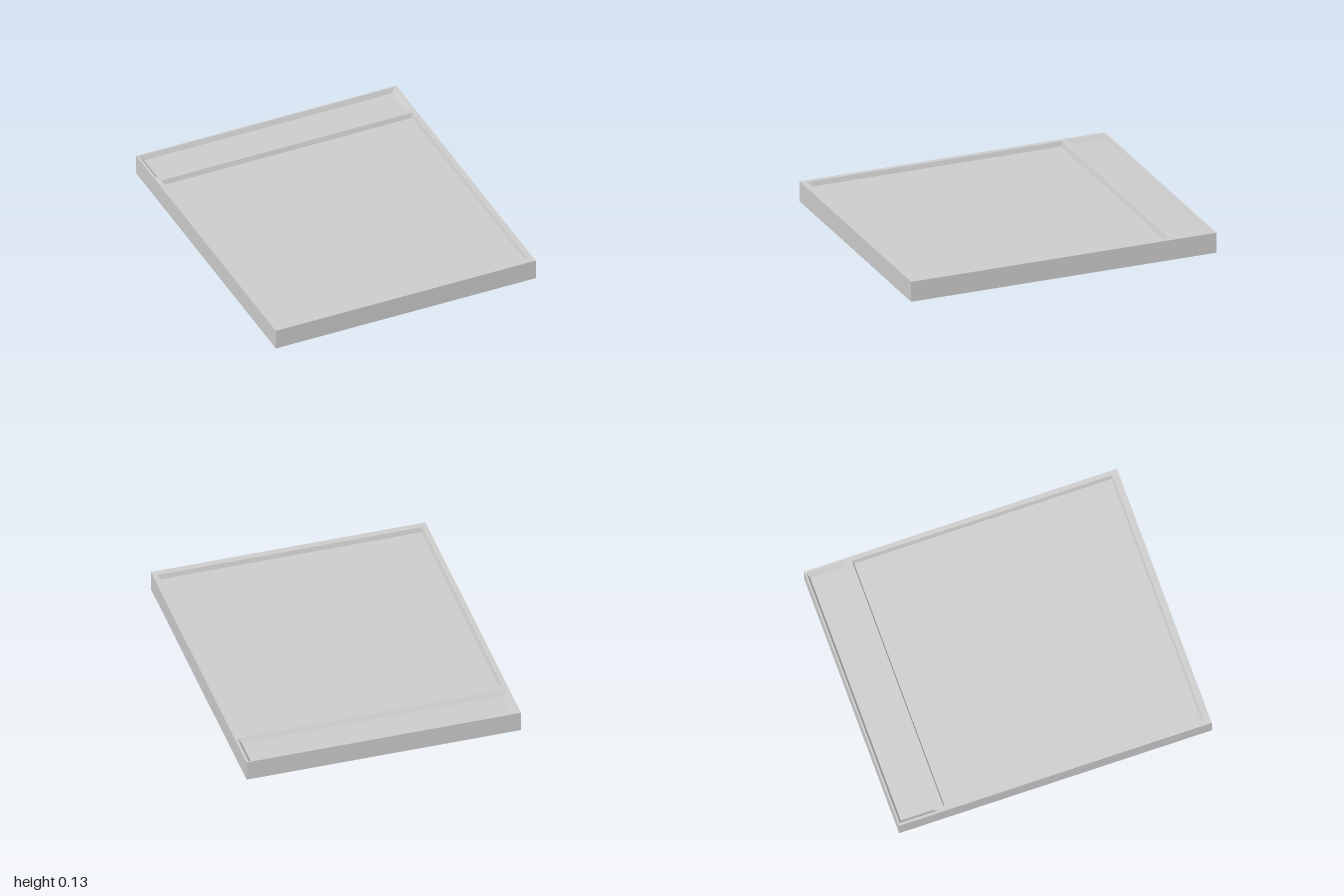
import * as THREE from 'three';

const HEIGHT = 0.13;
const FLOOR = 0.1;

// Rectangle corners, counter-clockwise seen from above
const ring = (halfX, z0, z1, y) => [
  [-halfX, y, z1], [halfX, y, z1], [halfX, y, z0], [-halfX, y, z0],
];

// Flat-shaded surface from four-cornered faces
function quads(faces) {
  const points = faces.flatMap(([a, b, c, d]) => [a, b, c, a, c, d]).flat();
  const geometry = new THREE.BufferGeometry();
  geometry.setAttribute('position', new THREE.Float32BufferAttribute(points, 3));
  geometry.computeVertexNormals();
  return geometry;
}

// Four walls joining two rings
const walls = (a, b) => a.map((p, i) => {
  const j = (i + 1) % 4;
  return [p, a[j], b[j], b[i]];
});

// Ring as a 2D outline, with y standing for -z
const outline = (r) => r.map(([x, , z]) => new THREE.Vector2(x, -z));

export function createModel() {
  const model = new THREE.Group();
  const material = new THREE.MeshStandardMaterial({ color: 0xcccccc, flatShading: true });
  const add = (name, geometry) => {
    const mesh = new THREE.Mesh(geometry, material);
    mesh.name = name;
    model.add(mesh);
  };

  // Outer sides and underside
  const base = ring(0.865, -1, 1, 0);
  const top = ring(0.865, -1, 1, HEIGHT);
  add('body', quads([...walls(base, top), [...base].reverse()]));

  // Recesses with walls tapering in to a flat floor
  const recesses = [
    { name: 'mainTray', rim: ring(0.835, -0.705, 0.96, HEIGHT), floor: ring(0.825, -0.695, 0.95, FLOOR) },
    { name: 'backTrough', rim: ring(0.85, -0.99, -0.75, HEIGHT), floor: ring(0.825, -0.975, -0.77, FLOOR) },
  ];
  for (const { name, rim, floor } of recesses) {
    add(name, quads([...walls(rim, floor), floor]));
  }

  // Top frame with openings for the recesses
  const frame = new THREE.Shape(outline(top));
  for (const { rim } of recesses) frame.holes.push(new THREE.Path(outline(rim)));
  add('topFrame', new THREE.ShapeGeometry(frame).rotateX(-Math.PI / 2).translate(0, HEIGHT, 0));

  return model;
}
